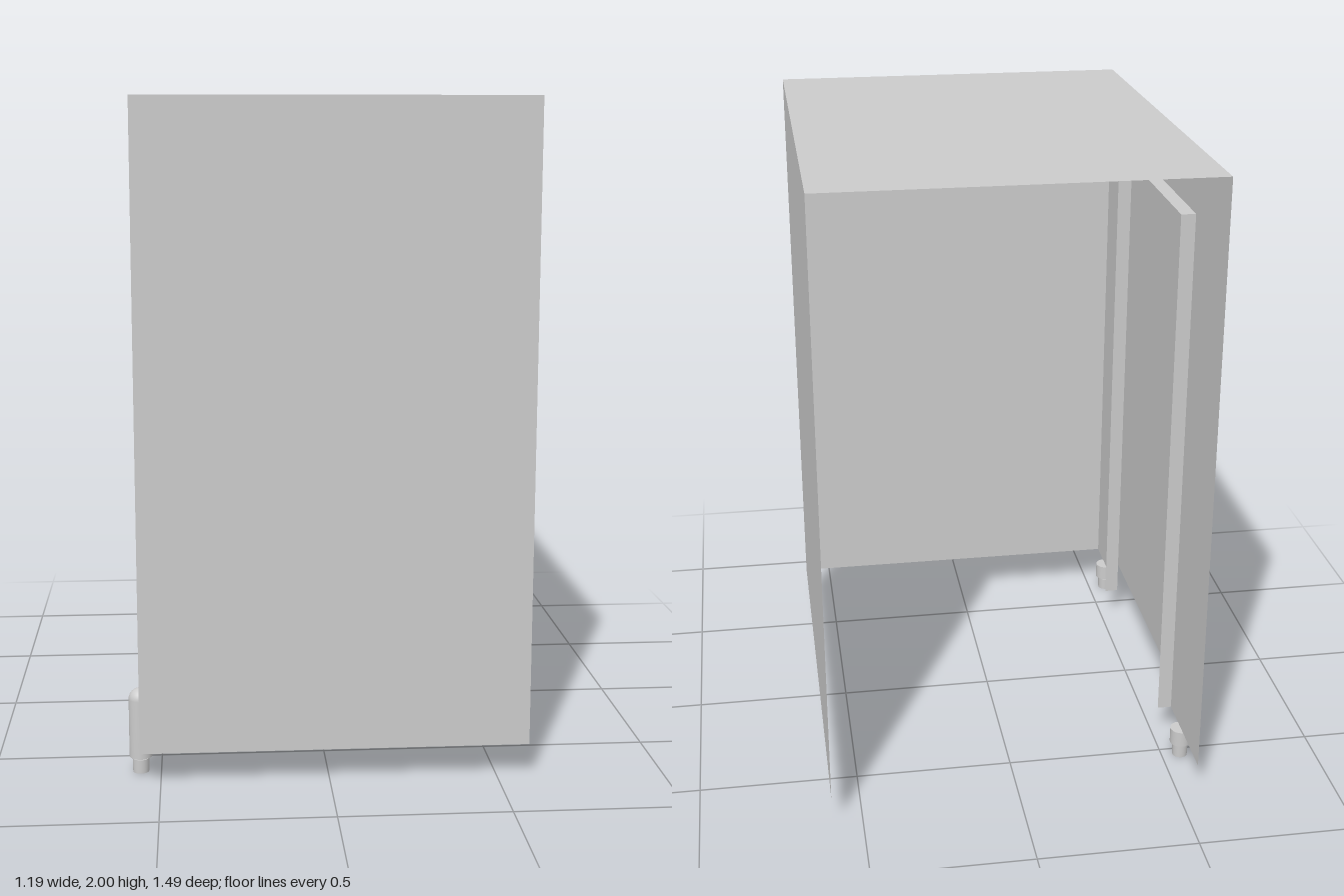
import * as THREE from 'three';

const X0 = -0.56, X1 = 0.595, Y0 = 0.1, Y1 = 2, Z = 0.745;
const W = X1 - X0, H = Y1 - Y0, CX = (X0 + X1) / 2, CY = (Y0 + Y1) / 2;

export function createModel() {
  const group = new THREE.Group();
  const sheet = new THREE.MeshStandardMaterial({ color: 0xcccccc, side: THREE.DoubleSide });

  const add = (name, geometry, x, y, z, parent = group) => {
    const mesh = new THREE.Mesh(geometry, sheet);
    mesh.name = name;
    mesh.position.set(x, y, z);
    parent.add(mesh);
    return mesh;
  };
  const lathe = (points, start = 0, length = Math.PI * 2) => new THREE.LatheGeometry(
    points.map(([r, y]) => new THREE.Vector2(r, y)), 24, start, length);

  // Thin sheet shell, open at the back and underneath
  add('topPanel', new THREE.PlaneGeometry(W, 2 * Z).rotateX(-Math.PI / 2), CX, Y1, 0);
  add('frontPanel', new THREE.PlaneGeometry(W, H), CX, CY, Z);
  add('leftPanel', new THREE.PlaneGeometry(2 * Z, H).rotateY(Math.PI / 2), X1, CY, 0);

  // Door-side panel with a shallow gap under the door
  const doorHalf = 0.405, doorTop = 1.8, doorBottom = 0.21;
  const outline = new THREE.Shape([
    [-Z, Y0], [-doorHalf, Y0], [-doorHalf, doorBottom], [doorHalf, doorBottom],
    [doorHalf, Y0], [Z, Y0], [Z, Y1], [-Z, Y1],
  ].map(([z, y]) => new THREE.Vector2(z, y)));
  add('doorPanel', new THREE.ShapeGeometry(outline).rotateY(-Math.PI / 2), X0, 0, 0);

  // Flanges framing the door on the inside
  const depth = 0.045;
  const frame = new THREE.Group();
  frame.name = 'doorFrame';
  group.add(frame);
  for (const side of [-1, 1]) {
    add('jamb', new THREE.PlaneGeometry(depth, doorTop - Y0),
      X0 + depth / 2, (doorTop + Y0) / 2, side * doorHalf, frame);
  }
  add('header', new THREE.PlaneGeometry(depth, 2 * doorHalf).rotateX(Math.PI / 2),
    X0 + depth / 2, doorTop, 0, frame);

  // Small round lock on the door
  const lock = lathe([[0.032, 0], [0.032, 0.009], [0.027, 0.015], [0.021, 0.015],
    [0.018, 0.008], [0.01, 0.008], [0.01, 0.012], [0, 0.012]]).toNonIndexed();
  lock.computeVertexNormals();
  add('lock', lock.rotateZ(Math.PI / 2), X0, 1.003, 0.3);

  // Feet: half-round domed housing outside the panel, full stepped foot below it
  const r = 0.034;
  const dome = [];
  for (let i = 0; i <= 8; i++) {
    const a = (i / 8) * Math.PI / 2;
    dome.push([r * Math.cos(a), 0.227 + r * Math.sin(a)]);
  }
  for (const z of [0.622, -0.53]) {
    const foot = new THREE.Group();
    foot.name = 'foot';
    foot.position.set(X0 - 0.001, 0, z);
    group.add(foot);
    add('housing', lathe([[r, Y0], ...dome], Math.PI, Math.PI), 0, 0, 0, foot);
    add('sleeve', new THREE.CylinderGeometry(r, r, 0.052, 24), 0, 0.074, 0, foot);
    add('stem', new THREE.CylinderGeometry(0.021, 0.021, 0.01, 24), 0, 0.045, 0, foot);
    add('pad', new THREE.CylinderGeometry(0.025, 0.024, 0.042, 24), 0, 0.021, 0, foot);
  }
  return group;
}
